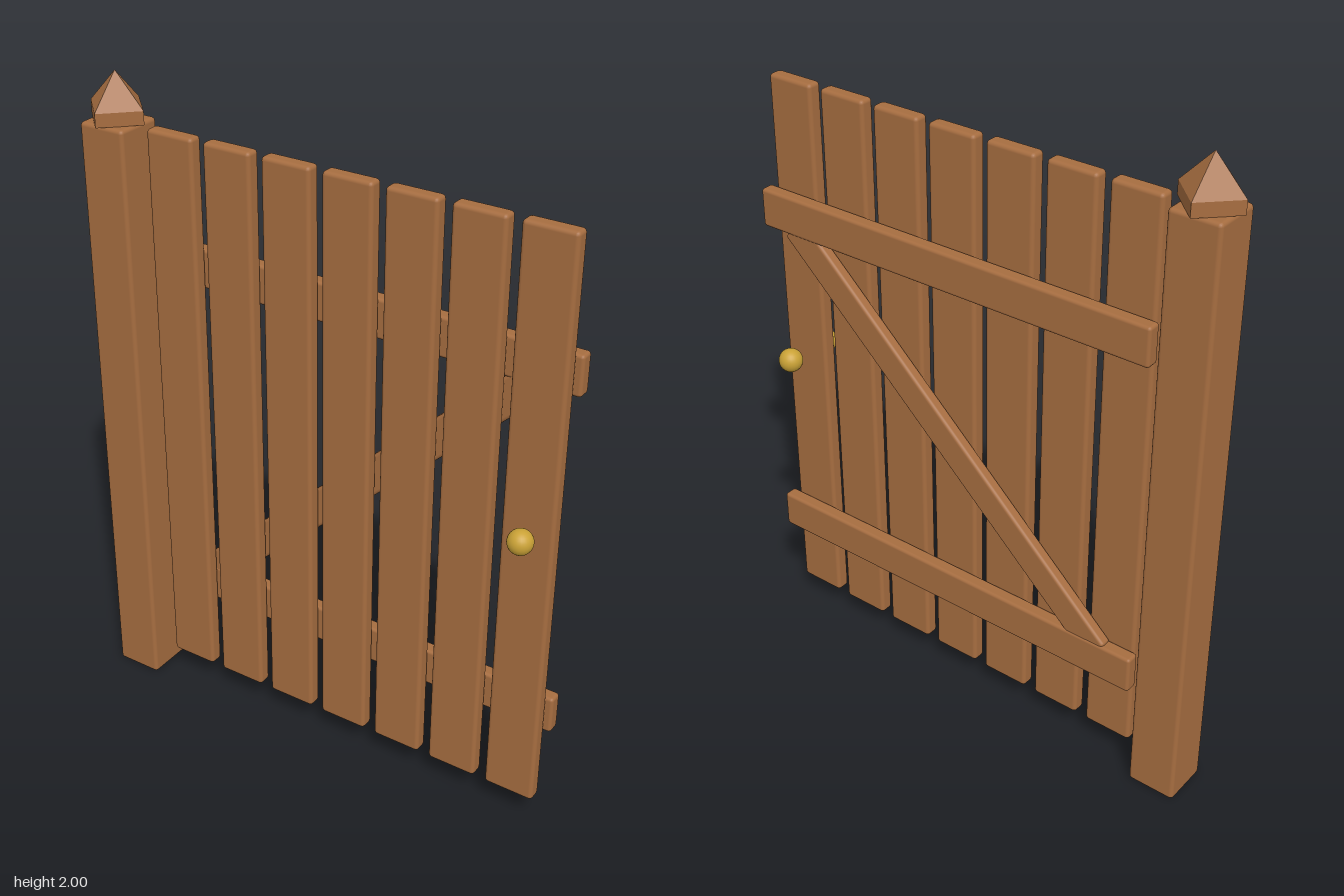
import * as THREE from 'three';
import { RoundedBoxGeometry } from 'three/addons/geometries/RoundedBoxGeometry.js';

export function createModel() {
  const gate = new THREE.Group();
  gate.name = 'gardenGate';

  const wood = new THREE.MeshStandardMaterial({ color: 0xa66d40 });
  wood.name = 'wood';
  const brass = new THREE.MeshStandardMaterial({ color: 0xcaa236 });
  brass.name = 'brass';

  function add(name, geometry, material, x, y, z) {
    const mesh = new THREE.Mesh(geometry, material);
    mesh.name = name;
    mesh.position.set(x, y, z);
    gate.add(mesh);
    return mesh;
  }
  // Timber with softened edges
  const timber = (name, w, h, d, x, y, z, r = 0.012) =>
    add(name, new RoundedBoxGeometry(w, h, d, 2, r), wood, x, y, z);

  // Post, with a cap turned corner-on to the front
  const postX = -0.677, postZ = 0.014;
  timber('post', 0.152, 1.86, 0.152, postX, 0.93, postZ);
  const flat = (g) => {
    const f = g.toNonIndexed();
    f.computeVertexNormals();
    return f;
  };
  add('capBase', flat(new THREE.CylinderGeometry(0.095, 0.095, 0.04, 4)), wood, postX, 1.88, postZ);
  add('capPoint', flat(new THREE.ConeGeometry(0.095, 0.1, 4)), wood, postX, 1.95, postZ);

  // Seven upright planks
  for (let i = 0; i < 7; i++) {
    timber('plank' + (i + 1), 0.156, 1.776, 0.046, -0.482 + i * 0.1925, 0.973, 0.014);
  }

  // Two cross rails behind the planks
  timber('lowerRail', 1.345, 0.12, 0.044, 0.0975, 0.375, -0.033, 0.01);
  timber('upperRail', 1.345, 0.12, 0.044, 0.0975, 1.46, -0.033, 0.01);

  // Diagonal brace running from rail to rail
  const from = new THREE.Vector2(-0.45, 0.4), to = new THREE.Vector2(0.655, 1.425);
  const span = to.clone().sub(from);
  const brace = timber('brace', span.length(), 0.1, 0.038,
    (from.x + to.x) / 2, (from.y + to.y) / 2, -0.032, 0.01);
  brace.rotation.z = span.angle();

  // Round knobs, one on each side
  for (const side of [1, -1]) {
    add(side > 0 ? 'frontKnob' : 'backKnob', new THREE.SphereGeometry(0.037, 24, 16), brass,
      0.675, 0.985, side * 0.0775);
  }
  return gate;
}
